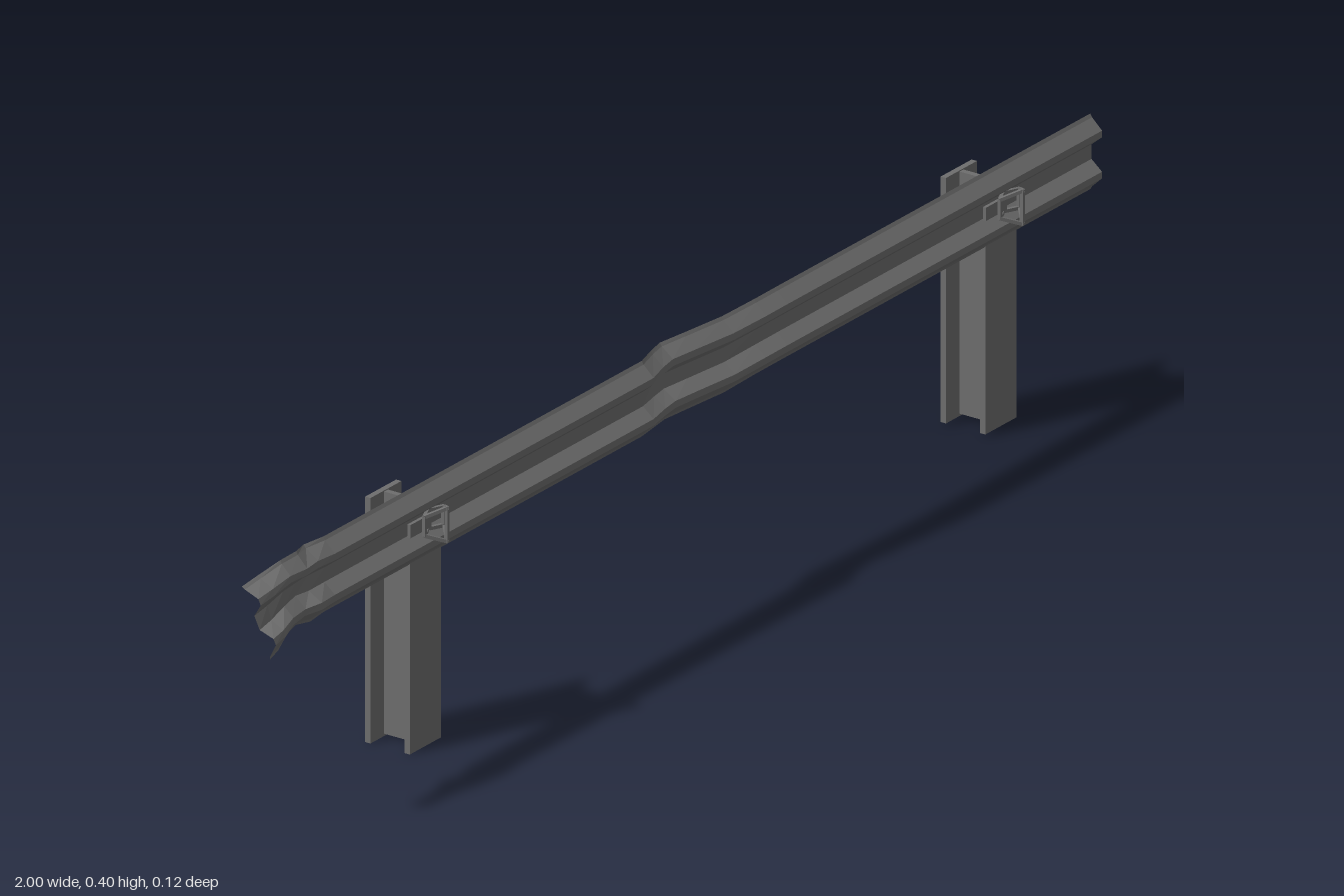
import * as THREE from 'three';

const steel = new THREE.MeshStandardMaterial({ color: 0x6e6e6e, flatShading: true, side: THREE.DoubleSide });
const CENTRE_Y = 0.343, CENTRE_Z = 0.027;

// W-beam cross-section from top lip to bottom lip: [height, depth] about the centre
const profile = [
  [0.057, -0.010], [0.052, -0.007], [0.036, 0.010], [0.026, 0.010], [0.011, -0.008],
  [-0.011, -0.008], [-0.026, 0.010], [-0.036, 0.010], [-0.052, -0.007], [-0.057, -0.010],
];

// Stations along the beam: [x, lift, push, roll, depth scale, skew of the cut]
const stations = [
  [-0.99, -0.015, -0.001, -0.3, 1, -0.17],
  [-0.965, -0.008, 0.002, -0.23, 0.95, -0.1],
  [-0.935, 0.002, 0.004, -0.08, 0.8, 0],
  [-0.90, 0.003, 0.001, 0.05, 1, 0],
  [-0.87, 0.002, 0.002, -0.1, 1.15, 0],
  [-0.83, 0, 0, 0, 1, 0],
  [-0.07, 0, 0, 0, 1, 0],
  [-0.03, -0.001, -0.010, -0.05, 1, 0],
  [0, -0.001, -0.015, -0.07, 1.05, 0],
  [0.05, -0.002, -0.011, -0.05, 1, 0],
  [0.13, -0.004, -0.005, -0.03, 1, 0],
  [0.2, -0.001, -0.001, 0, 1, 0],
  [0.25, 0, 0, 0, 1, 0],
  [1, 0, 0, 0, 1, 0],
];

function makeMesh(geometry, name, x = 0, y = 0, z = 0) {
  const mesh = new THREE.Mesh(geometry, steel);
  mesh.name = name;
  mesh.position.set(x, y, z);
  return mesh;
}

// Sheet lofted through the stations
function beamGeometry() {
  const points = [], faces = [], n = profile.length;
  stations.forEach(([x, lift, push, roll, depth, skew], i) => {
    const c = Math.cos(roll), s = Math.sin(roll);
    profile.forEach(([h, d], j) => {
      const dz = d * depth;
      points.push(x + h * skew, CENTRE_Y + lift + h * c - dz * s, CENTRE_Z + push + h * s + dz * c);
      if (i && j) {
        const a = (i - 1) * n + j - 1, b = a + n;
        faces.push(a, a + 1, b, b, a + 1, b + 1);
      }
    });
  });
  const geometry = new THREE.BufferGeometry();
  geometry.setAttribute('position', new THREE.Float32BufferAttribute(points, 3));
  geometry.setIndex(faces);
  geometry.computeVertexNormals();
  return geometry;
}

// Thin square bar between two points
function bar(a, b, thickness, name) {
  const from = new THREE.Vector3(...a), to = new THREE.Vector3(...b);
  const mesh = makeMesh(new THREE.BoxGeometry(thickness, thickness, from.distanceTo(to) + thickness * 0.5), name);
  mesh.position.copy(from).add(to).multiplyScalar(0.5);
  mesh.lookAt(to);
  return mesh;
}

// I-section post
function makePost(x, base) {
  const post = new THREE.Group();
  post.name = 'post';
  const height = 0.37;
  for (const [z, name] of [[0.0135, 'frontFlange'], [-0.0535, 'rearFlange']]) {
    post.add(makeMesh(new THREE.BoxGeometry(0.074, height, 0.009), name, 0, height / 2, z));
  }
  post.add(makeMesh(new THREE.BoxGeometry(0.009, height - 0.005, 0.058), 'web', 0, height / 2 + 0.001, -0.02));
  post.position.set(x, base, 0);
  return post;
}

// Open folded marker frame with its side tab
function makeMarker(x) {
  const marker = new THREE.Group();
  marker.name = 'marker';
  const t = 0.005, tall = 0.025, short = 0.014, front = 0.055, back = 0.033;
  marker.add(bar([0, -tall, front], [0, tall, front], t, 'frontBar'));
  for (const sx of [-1, 1]) {
    const wx = sx * 0.023;
    marker.add(bar([wx, -short, back], [wx, short, back], t, 'sideBar'));
    for (const sy of [-1, 1]) {
      marker.add(bar([0, sy * tall, front], [wx, sy * short, back], t, 'slantedBar'));
      marker.add(bar([wx, sy * short, back], [0, sy * short, 0.022], t, 'mountBar'));
    }
  }
  marker.add(makeMesh(new THREE.BoxGeometry(0.05, 0.02, 0.005), 'tab', -0.025, 0, 0.026));
  marker.position.set(x, CENTRE_Y, 0);
  return marker;
}

export function createModel() {
  const model = new THREE.Group();
  model.name = 'guardRail';
  model.add(makeMesh(beamGeometry(), 'beam'));
  for (const [x, base] of [[-0.588, 0], [0.785, 0.004]]) {
    model.add(makePost(x, base), makeMarker(x));
  }
  return model;
}
